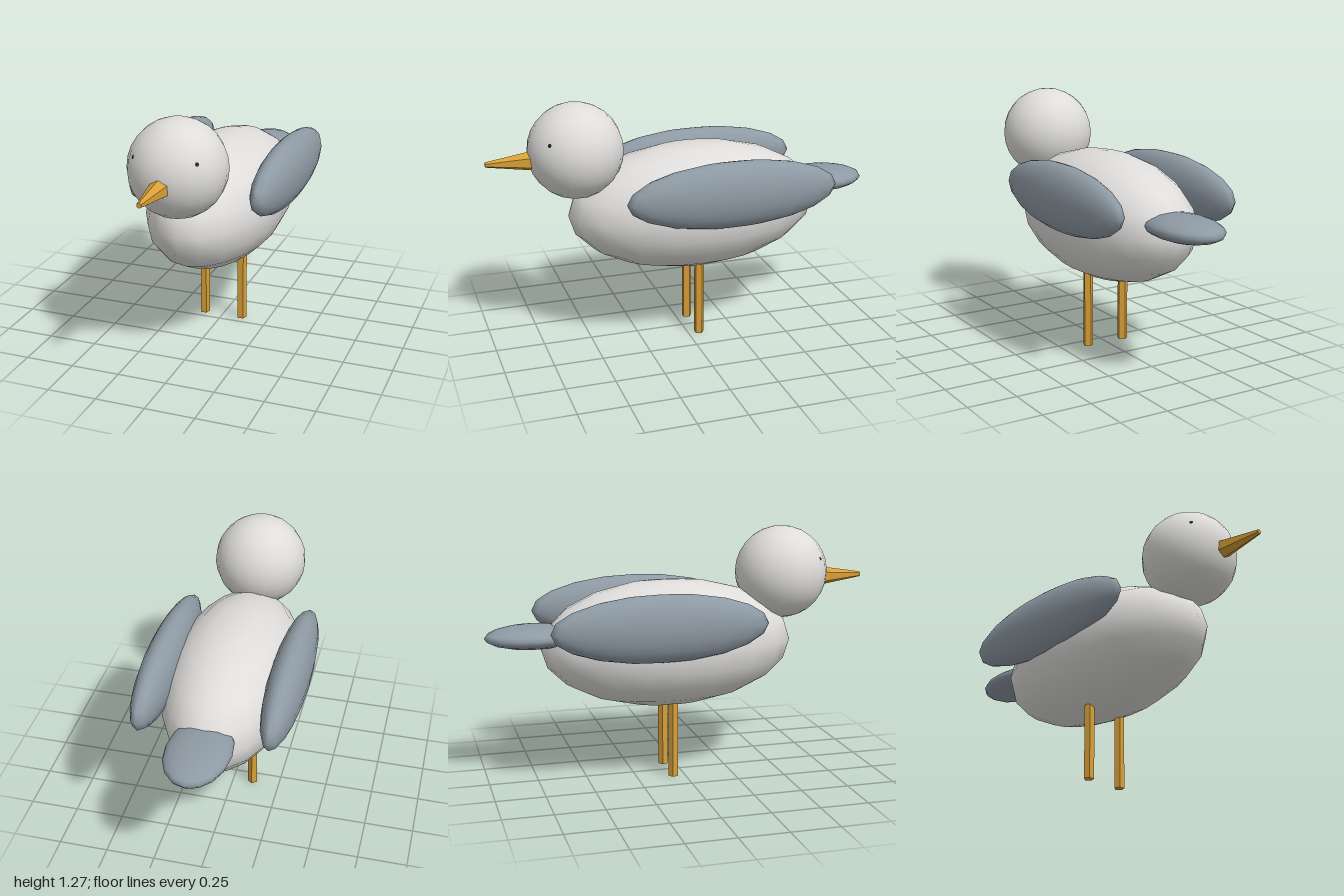
import * as THREE from 'three';

const mat = (name, color) => {
  const m = new THREE.MeshStandardMaterial({ color });
  m.name = name;
  return m;
};

export function createModel() {
  const bird = new THREE.Group();
  bird.name = 'bird';

  const white = mat('whiteFeathers', 0xdedddb);
  const grey = mat('greyFeathers', 0x8e9aa4);
  const orange = mat('beakAndLegs', 0xd9a038);
  orange.flatShading = true;
  const black = mat('eyeBlack', 0x222222);

  const add = (name, geometry, material, x, y, z) => {
    const mesh = new THREE.Mesh(geometry, material);
    mesh.name = name;
    mesh.position.set(x, y, z);
    bird.add(mesh);
    return mesh;
  };
  // Smooth ellipsoid with the given half sizes
  const ellipsoid = (rx, ry, rz, w = 20, h = 10) =>
    new THREE.SphereGeometry(1, w, h).scale(rx, ry, rz);

  // Body, head and tail
  const head = new THREE.Vector3(0, 1.033, 0.553);
  add('body', ellipsoid(0.333, 0.327, 0.66), white, 0, 0.692, -0.06);
  add('head', ellipsoid(0.24, 0.24, 0.24, 20, 14), white, ...head);
  add('tail', ellipsoid(0.16, 0.06, 0.25, 16, 10), grey, 0, 0.76, -0.75);

  // Tapered six-sided beak pointing forward
  const beak = new THREE.CylinderGeometry(0.013, 0.053, 0.25, 6).rotateX(Math.PI / 2);
  add('beak', beak, orange, 0, 1.0, 0.875);

  // Mirrored pairs: wings, legs and eyes
  for (const [side, s] of [['left', 1], ['right', -1]]) {
    add(side + 'Wing', ellipsoid(0.098, 0.17, 0.548), grey, s * 0.315, 0.829, -0.17);

    const leg = new THREE.CylinderGeometry(0.0265, 0.0265, 0.44, 5).rotateY(Math.PI);
    add(side + 'Leg', leg, orange, s * 0.105, 0.22, -0.06);

    // Eyes sit almost flush with the head
    const eye = new THREE.Vector3(s * 0.16, 0.083, 0.16).setLength(0.221).add(head);
    add(side + 'Eye', new THREE.SphereGeometry(0.0185, 10, 8), black, eye.x, eye.y, eye.z);
  }
  return bird;
}
